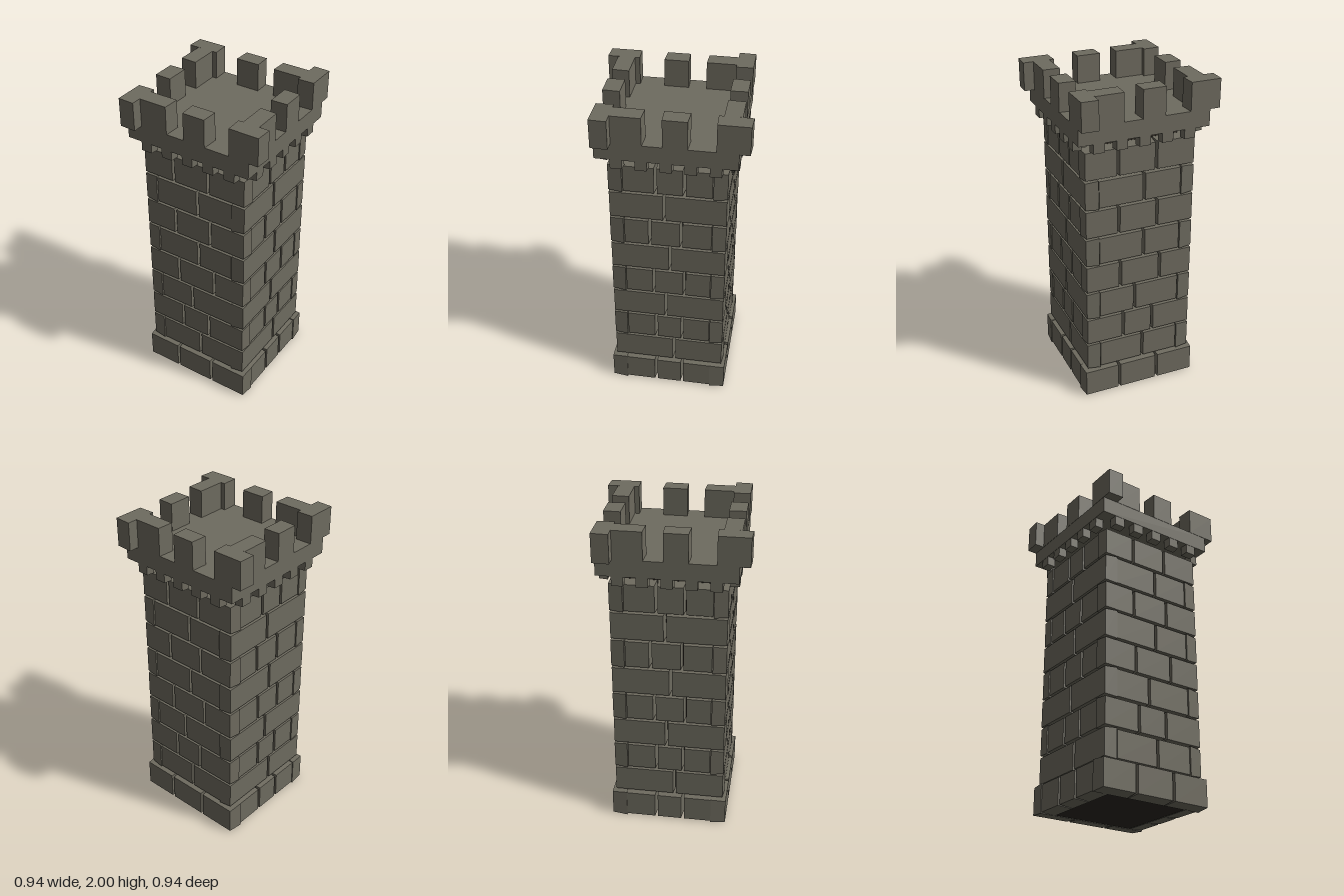
import * as THREE from 'three';

export function createModel() {
  const tower = new THREE.Group();
  tower.name = 'stoneTower';
  const stone = new THREE.MeshStandardMaterial({ color: 0x6e6b5f });
  stone.name = 'stone';
  const mortar = new THREE.MeshStandardMaterial({ color: 0x2b2721 });
  mortar.name = 'mortar';

  // Block whose outer (+z) face is inset by taperX / taperY on each side
  function block(name, [x0, x1], [y0, y1], [z0, z1], taperX, taperY) {
    const w = x1 - x0, h = y1 - y0;
    let geo = new THREE.BoxGeometry(w, h, z1 - z0);
    const p = geo.attributes.position;
    for (let i = 0; i < p.count; i++) {
      if (p.getZ(i) < 0) continue;
      p.setX(i, p.getX(i) * (1 - 2 * taperX / w));
      p.setY(i, p.getY(i) * (1 - 2 * taperY / h));
    }
    geo = geo.toNonIndexed();
    geo.computeVertexNormals();
    const mesh = new THREE.Mesh(geo, stone);
    mesh.name = name;
    mesh.position.set((x0 + x1) / 2, (y0 + y1) / 2, (z0 + z1) / 2);
    return mesh;
  }

  // One wall side: 0 front, 1 left (+x), 2 back, 3 right (-x)
  function side(name, turn) {
    const group = new THREE.Group();
    group.name = name;
    group.rotation.y = turn * Math.PI / 2;
    tower.add(group);
    return group;
  }

  // Dark core showing in the joints
  const core = new THREE.Mesh(new THREE.BoxGeometry(0.544, 1.655, 0.544), mortar);
  core.name = 'mortarCore';
  core.position.y = 0.8305;
  tower.add(core);

  // Joint positions of each course, bottom to top, on front/back and on the flanks
  const frontJoints = [[-0.14, 0.12], [0.025], [-0.105, 0.09], [-0.03], [-0.125, 0.135],
    [0.025], [-0.137, 0.11], [0.025], [-0.14, 0.1]];
  const flankJoints = [[-0.08, 0.09], [0.035], [-0.078, 0.088], [-0.015], [-0.088, 0.1],
    [0.012], [-0.108, 0.08], [-0.02], [-0.07, 0.097]];
  const pitch = 0.1845, taper = 0.007;

  const sideNames = ['front', 'left', 'back', 'right'];
  sideNames.forEach((label, turn) => {
    const wall = side(label + 'Wall', turn);
    const onFlank = turn % 2 === 1;
    (onFlank ? flankJoints : frontJoints).forEach((joints, row) => {
      // Courses alternate between running over the corner and stopping short of it
      const full = (row % 2 === 0) !== onFlank;
      const base = row === 0;
      const end = full ? (base ? 0.372 : 0.35) : (base ? 0.282 : 0.266);
      const xs = [-end, ...joints, end];
      for (let i = 0; i < xs.length - 1; i++) {
        const x0 = xs[i] + (i > 0 ? 0.002 : 0);
        const x1 = xs[i + 1] - (i < xs.length - 2 ? 0.002 : 0);
        wall.add(block('wallStone', [x0, x1], [row * pitch, row * pitch + 0.182],
          [base ? 0.272 : 0.264, base ? 0.366 : 0.345], taper, taper));
      }
    });

    // Corbels under the parapet
    const corbels = side(label + 'Corbels', turn);
    for (let i = -2; i <= 2; i++) {
      const x = i * 0.14;
      corbels.add(block('corbel', [x - 0.037, x + 0.037], [1.663, 1.728], [0.35, 0.402], 0.003, 0.003));
    }

    // Merlons, the last one running past the corner
    const merlons = side(label + 'Merlons', turn);
    for (const range of [[-0.308, -0.127], [-0.021, 0.127], [0.276, 0.468]]) {
      merlons.add(block('merlon', range, [1.826, 2], [0.305, 0.406], 0.004, 0));
    }
  });

  // Parapet slab and floor
  const slab = new THREE.Mesh(new THREE.BoxGeometry(0.808, 0.104, 0.808), stone);
  slab.name = 'parapetSlab';
  slab.position.y = 1.776;
  tower.add(slab);

  return tower;
}
